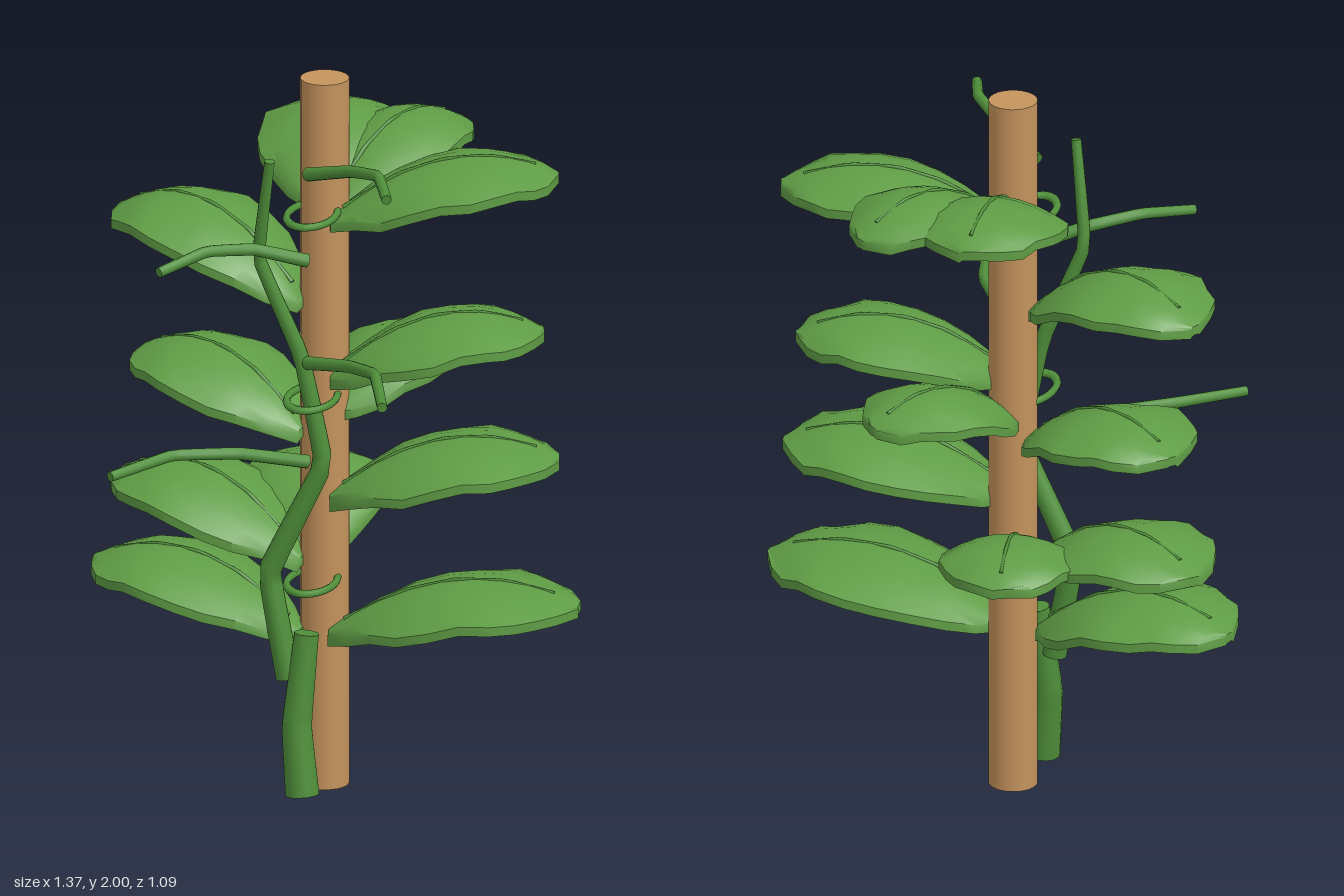
import * as THREE from 'three';
import { mergeGeometries, toCreasedNormals } from 'three/addons/utils/BufferGeometryUtils.js';

const leafMat = new THREE.MeshStandardMaterial({ color: 0x5f9c45 });
const stemMat = new THREE.MeshStandardMaterial({ color: 0x4f8f3a });
const woodMat = new THREE.MeshStandardMaterial({ color: 0xc4935c });

const V = (p) => new THREE.Vector3(...p);

function add(parent, name, geometry, material) {
  const mesh = new THREE.Mesh(geometry, material);
  mesh.name = name;
  parent.add(mesh);
  return mesh;
}

// Tapered, capped tube through a few points, with fairly crisp bends
function taperedTube(points, r0, r1, sides = 10) {
  const curve = new THREE.CatmullRomCurve3(points.map(V), false, 'catmullrom', 0.08);
  const n = (points.length - 1) * 6;
  const tube = new THREE.TubeGeometry(curve, n, 1, sides, false);
  const pos = tube.attributes.position, nor = tube.attributes.normal;
  for (let k = 0; k < pos.count; k++) {
    const t = Math.floor(k / (sides + 1)) / n;
    const p = curve.getPointAt(t);
    const r = r0 + (r1 - r0) * t;
    pos.setXYZ(k, p.x + nor.getX(k) * r, p.y + nor.getY(k) * r, p.z + nor.getZ(k) * r);
  }
  const cap = (t, r, sign) => {
    const g = new THREE.CircleGeometry(r, sides);
    const dir = curve.getTangentAt(t).multiplyScalar(sign);
    g.applyQuaternion(new THREE.Quaternion().setFromUnitVectors(new THREE.Vector3(0, 0, 1), dir));
    const p = curve.getPointAt(t);
    return g.translate(p.x, p.y, p.z);
  };
  return mergeGeometries([tube, cap(0, r0, -1), cap(1, r1, 1)]);
}

// Midrib height along the leaf: rises from the stem, then bows down to the tip
const arch = (t, rise) => rise * (0.52 * t - 0.41 * t * t);

// Outline: [position along leaf, share of half width]
const OUTLINE = [[0, 0.12], [0.1, 0.42], [0.2, 0.67], [0.32, 0.87], [0.45, 0.98], [0.58, 1],
  [0.7, 0.94], [0.79, 0.83], [0.87, 0.69], [0.94, 0.45], [1, 0.08]];

// Leaf blade pointing along +z: a thin drooping section lofted along the arch
function leafGeometry(length, halfWidth, rise, seed) {
  const cols = 8, thick = 0.026, loop = 2 * (cols + 1);
  const pos = [], idx = [];
  OUTLINE.forEach(([t, share], i) => {
    const wave = 1 + 0.035 * Math.sin(i * 2.4 + seed);
    for (let j = 0; j < loop; j++) {
      const top = j <= cols;
      const u = ((top ? j : loop - 1 - j) / cols) * 2 - 1;
      const w = halfWidth * share * wave;
      const droop = 0.085 * (1 - 0.5 * t) * share * u * u;
      const ripple = 0.006 * u * u * Math.sin(i * 1.9 + u * 2 + seed);
      pos.push(u * w, arch(t, rise) - droop + ripple + (top ? thick : -thick) / 2, t * length);
    }
  });
  const last = (OUTLINE.length - 1) * loop;
  for (let r = 0; r < last; r += loop) {
    for (let j = 0; j < loop; j++) {
      const k = (j + 1) % loop;
      const a = r + j, b = r + k;
      idx.push(a, a + loop, b, b, a + loop, b + loop);
    }
  }
  for (let j = 1; j < loop - 1; j++) {
    idx.push(0, j, j + 1, last, last + j + 1, last + j);
  }
  const g = new THREE.BufferGeometry();
  g.setAttribute('position', new THREE.Float32BufferAttribute(pos, 3));
  g.setIndex(idx);
  return toCreasedNormals(g, 0.8);
}

// Leaves: tip x, tip z, base height, half width, rise
const LEAVES = [
  [0.68, -0.03, 0.445, 0.25, 1],
  [-0.68, -0.11, 0.437, 0.23, 1.1],
  [-0.635, -0.24, 0.64, 0.225, 1.17],
  [-0.17, -0.51, 0.65, 0.19, 1.05],
  [0.6, -0.13, 0.825, 0.245, 1],
  [-0.575, -0.26, 1.005, 0.215, 1.03],
  [0.21, -0.46, 1.05, 0.175, 1],
  [0.545, -0.18, 1.165, 0.215, 1],
  [-0.64, -0.26, 1.37, 0.21, 1.3],
  [0.58, -0.2, 1.605, 0.21, 1],
  [0.22, -0.53, 1.595, 0.175, 1.3],
  [-0.085, -0.54, 1.645, 0.205, 1],
];

// Aerial roots, reaching forward to either side
const ROOTS = [
  [[-0.04, 0.955, 0.1], [-0.2, 1.005, 0.22], [-0.36, 1.02, 0.32], [-0.49, 1.005, 0.49]],
  [[-0.04, 1.235, 0.1], [0.1, 1.27, 0.2], [0.2, 1.295, 0.32], [0.275, 1.28, 0.54]],
  [[-0.04, 1.525, 0.1], [-0.17, 1.57, 0.17], [-0.28, 1.585, 0.26], [-0.38, 1.56, 0.39]],
  [[-0.04, 1.77, 0.1], [0.1, 1.82, 0.19], [0.2, 1.845, 0.28], [0.255, 1.825, 0.41]],
];

export function createModel() {
  const model = new THREE.Group();
  model.name = 'climbingPlant';

  // Support pole
  add(model, 'pole', new THREE.CylinderGeometry(0.066, 0.066, 2, 24), woodMat)
    .position.set(-0.027, 1, -0.04);

  // Main stem in two overlapping lengths
  add(model, 'lowerStem', taperedTube(
    [[-0.047, 0.02, 0.13], [-0.066, 0.21, 0.115], [-0.045, 0.465, 0.09]], 0.047, 0.034, 12), stemMat);
  add(model, 'upperStem', taperedTube(
    [[-0.095, 0.335, 0.09], [-0.15, 0.63, 0.08], [-0.002, 0.945, 0.08], [-0.06, 1.25, 0.09],
      [-0.17, 1.53, 0.12], [-0.13, 1.82, 0.16]], 0.035, 0.014, 12), stemMat);

  ROOTS.forEach((path) => add(model, 'aerialRoot', taperedTube(path, 0.019, 0.014), stemMat));

  // Ties holding the stem to the pole
  for (const y of [0.6, 1.12, 1.64]) {
    const tie = add(model, 'tie', new THREE.TorusGeometry(0.065, 0.01, 8, 32).rotateX(Math.PI / 2), stemMat);
    tie.position.set(-0.04, y, 0.05);
    tie.scale.z = 1.7;
  }

  // Leaves fan out from the stem, each with a midrib
  LEAVES.forEach(([tx, tz, y, halfWidth, rise], i) => {
    const dx = tx + 0.04, dz = tz - 0.02;
    const reach = Math.hypot(dx, dz), start = 0.04, length = reach - start;
    const leaf = new THREE.Group();
    leaf.name = 'leaf';
    add(leaf, 'blade', leafGeometry(length, halfWidth, rise, i * 1.7), leafMat);
    const rib = [0.06, 0.3, 0.5, 0.7, 0.9].map((t) => [0, arch(t, rise) + 0.013, t * length]);
    add(leaf, 'midrib', taperedTube(rib, 0.007, 0.005, 6), stemMat);
    leaf.position.set(-0.04 + (dx / reach) * start, y, 0.02 + (dz / reach) * start);
    leaf.rotation.y = Math.atan2(dx, dz);
    model.add(leaf);
  });

  return model;
}
